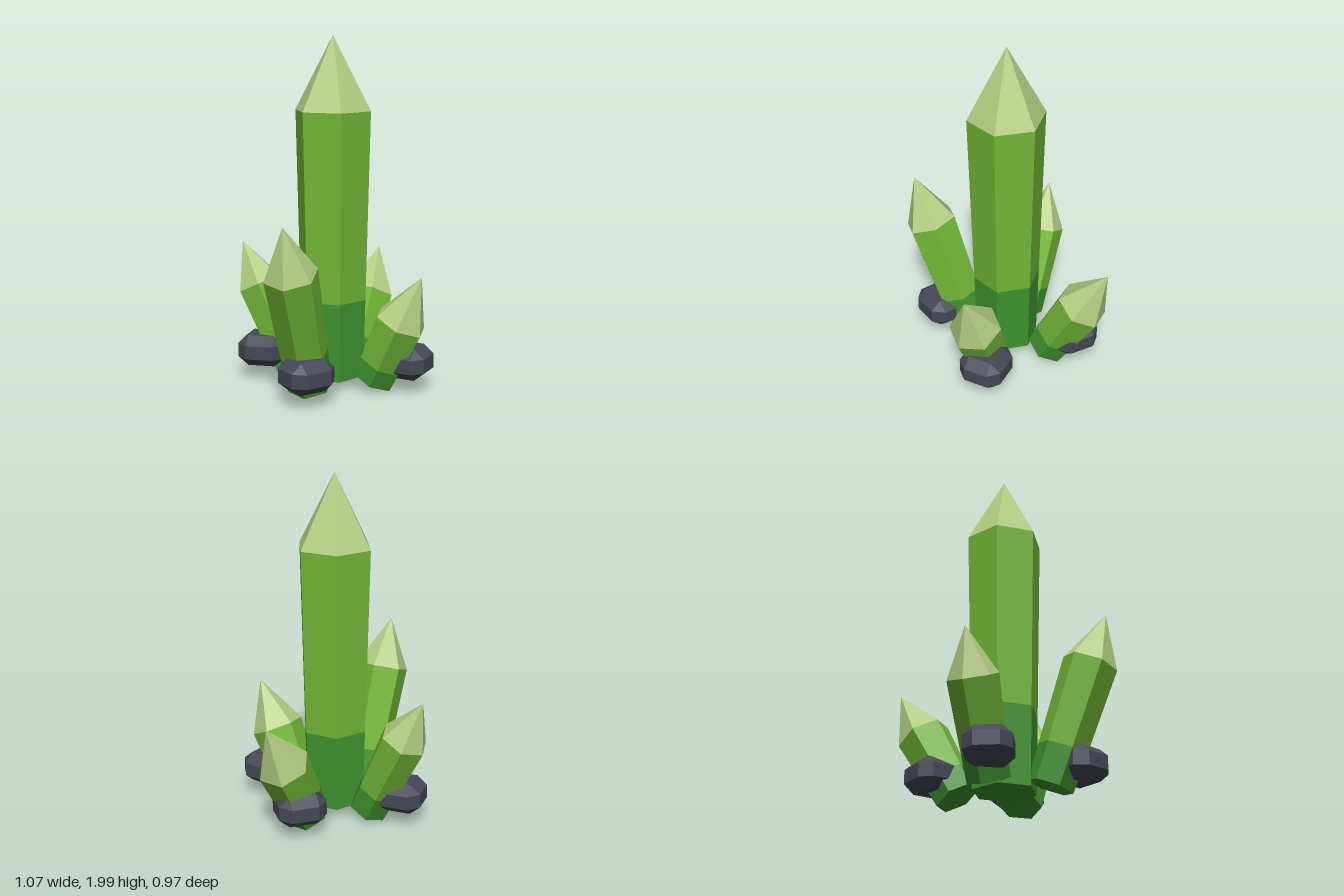
import * as THREE from 'three';
import { ConvexGeometry } from 'three/addons/geometries/ConvexGeometry.js';

const material = (color) => new THREE.MeshStandardMaterial({ color, flatShading: true });

// Six-sided crystal grown from base to apex: dark root, bright shaft, pale tip.
// turn is the angle of one corner, measured from +x towards +z, in degrees.
function makeCrystal(name, mats, { base, apex, radius, tip, turn }) {
  const crystal = new THREE.Group();
  crystal.name = name;
  const start = new THREE.Vector3(...base);
  const axis = new THREE.Vector3(...apex).sub(start);
  const length = axis.length();
  const shaftEnd = length - tip;
  const split = shaftEnd * 0.296;
  const radiusAt = (h) => radius * (0.83 + 0.17 * h / shaftEnd);
  const theta = THREE.MathUtils.degToRad(90 - turn);

  const section = (part, mat, from, to, r0, r1, open) => {
    const geo = new THREE.CylinderGeometry(r1, r0, to - from, 6, 1, open, theta);
    geo.translate(0, (from + to) / 2, 0);
    const mesh = new THREE.Mesh(geo, mat);
    mesh.name = part;
    crystal.add(mesh);
  };
  section('crystalRoot', mats.root, 0, split, radiusAt(0), radiusAt(split), false);
  section('crystalShaft', mats.shaft, split, shaftEnd, radiusAt(split), radius, true);
  section('crystalTip', mats.tip, shaftEnd, length, radius, 0, true);

  crystal.position.copy(start);
  crystal.quaternion.setFromUnitVectors(new THREE.Vector3(0, 1, 0), axis.normalize());
  return crystal;
}

// Box with every edge and corner cut off
function chamferedBox(w, h, d, cut, cutY) {
  const points = [];
  for (const x of [-1, 1]) for (const y of [-1, 1]) for (const z of [-1, 1]) {
    const [X, Y, Z] = [x * w / 2, y * h / 2, z * d / 2];
    const [cx, cy, cz] = [X - x * cut, Y - y * cutY, Z - z * cut];
    points.push(new THREE.Vector3(X, cy, cz), new THREE.Vector3(cx, Y, cz), new THREE.Vector3(cx, cy, Z));
  }
  return new ConvexGeometry(points);
}

export function createModel() {
  const model = new THREE.Group();
  model.name = 'crystalCluster';
  const mats = {
    root: material(0x3f9430),
    shaft: material(0x72b836),
    tip: material(0xb4cc82),
  };
  const stone = material(0x454857);

  // Tall upright crystal in the middle
  model.add(makeCrystal('mainCrystal', mats,
    { base: [0.005, 0.065, 0.017], apex: [0.005, 2, 0.017], radius: 0.221, tip: 0.415, turn: 44.4 }));

  // Four short crystals leaning outwards
  const leaning = {
    backRightCrystal: { base: [-0.14, 0.06, -0.175], apex: [-0.351, 0.79, -0.46], radius: 0.14, tip: 0.27, turn: -4 },
    frontRightCrystal: { base: [-0.21, 0.065, 0.165], apex: [-0.468, 1.02, 0.377], radius: 0.153, tip: 0.295, turn: 11 },
    frontLeftCrystal: { base: [0.165, 0.07, 0.22], apex: [0.335, 0.685, 0.452], radius: 0.152, tip: 0.295, turn: 8 },
    backLeftCrystal: { base: [0.223, 0.065, -0.143], apex: [0.51, 0.7, -0.36], radius: 0.152, tip: 0.3, turn: 53 },
  };
  for (const [name, spec] of Object.entries(leaning)) model.add(makeCrystal(name, mats, spec));

  // Dark stones around the foot: x, z, yaw in degrees
  const stones = {
    backRightStone: [-0.298, -0.277, -38],
    frontRightStone: [-0.297, 0.3, 8],
    frontLeftStone: [0.322, 0.315, -54],
    backLeftStone: [0.3, -0.262, 0],
  };
  const stoneGeometry = chamferedBox(0.275, 0.18, 0.26, 0.06, 0.05);
  for (const [name, [x, z, yaw]] of Object.entries(stones)) {
    const mesh = new THREE.Mesh(stoneGeometry, stone);
    mesh.name = name;
    mesh.position.set(x, 0.18, z);
    mesh.rotation.y = THREE.MathUtils.degToRad(yaw);
    model.add(mesh);
  }
  return model;
}
